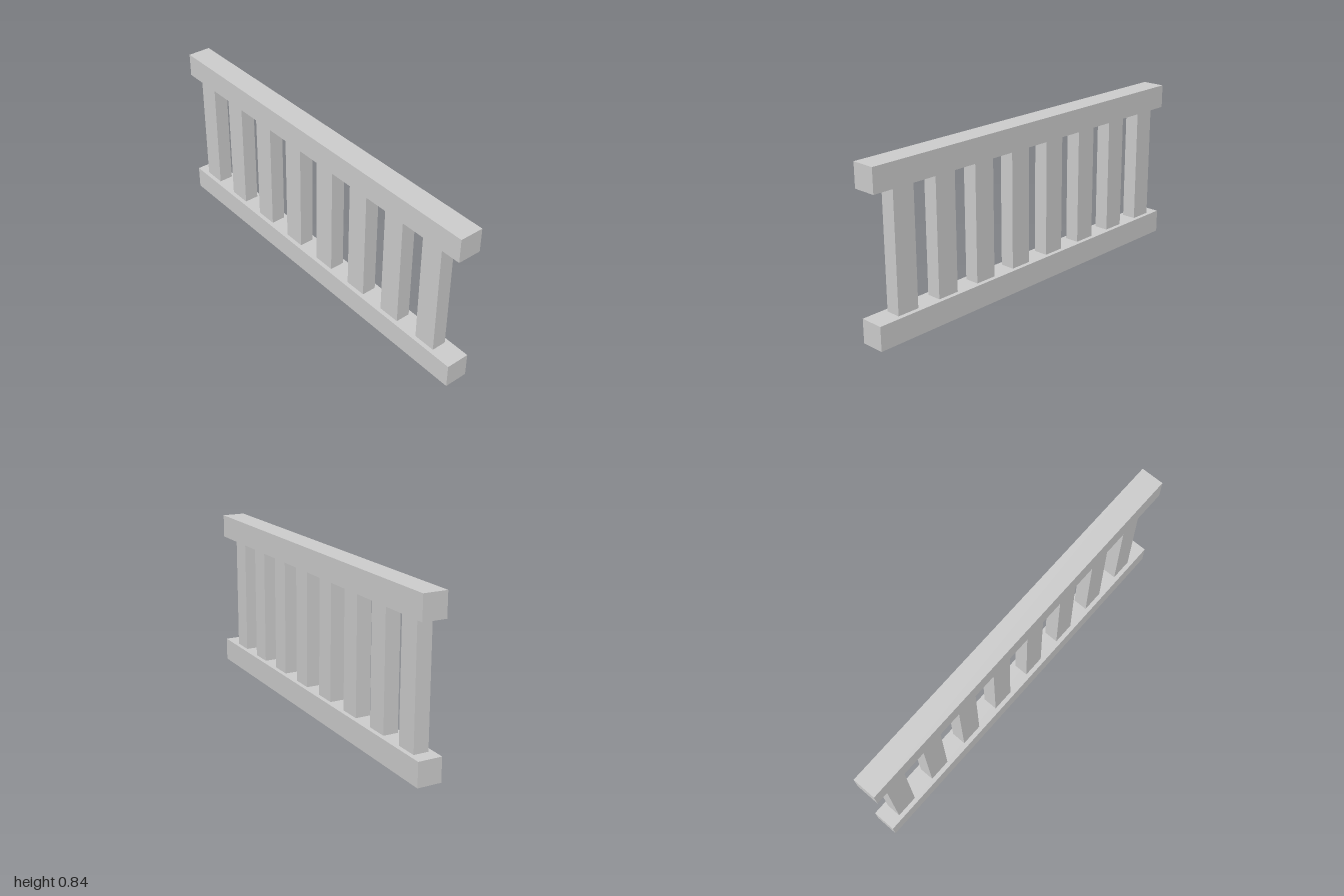
import * as THREE from 'three';

const RAIL = { length: 2, height: 0.12, depth: 0.12 };
const BALUSTER = { count: 8, width: 0.115, depth: 0.075, firstX: -0.873, spacing: 0.242 };
const TOTAL_HEIGHT = 0.84;

export function createModel() {
  const group = new THREE.Group();
  group.name = 'railing';
  const material = new THREE.MeshStandardMaterial({ color: 0xcccccc });

  const addPart = (name, geometry, x, y) => {
    const mesh = new THREE.Mesh(geometry, material);
    mesh.name = name;
    mesh.position.set(x, y, 0);
    group.add(mesh);
  };

  // Bottom and top rails
  const railGeometry = new THREE.BoxGeometry(RAIL.length, RAIL.height, RAIL.depth);
  addPart('bottomRail', railGeometry, 0, RAIL.height / 2);
  addPart('topRail', railGeometry, 0, TOTAL_HEIGHT - RAIL.height / 2);

  // Evenly spaced balusters, the row sitting slightly towards -x
  const balusterHeight = TOTAL_HEIGHT - 2 * RAIL.height;
  const balusterGeometry = new THREE.BoxGeometry(BALUSTER.width, balusterHeight, BALUSTER.depth);
  for (let i = 0; i < BALUSTER.count; i++) {
    addPart(`baluster${i + 1}`, balusterGeometry, BALUSTER.firstX + i * BALUSTER.spacing, TOTAL_HEIGHT / 2);
  }

  return group;
}
